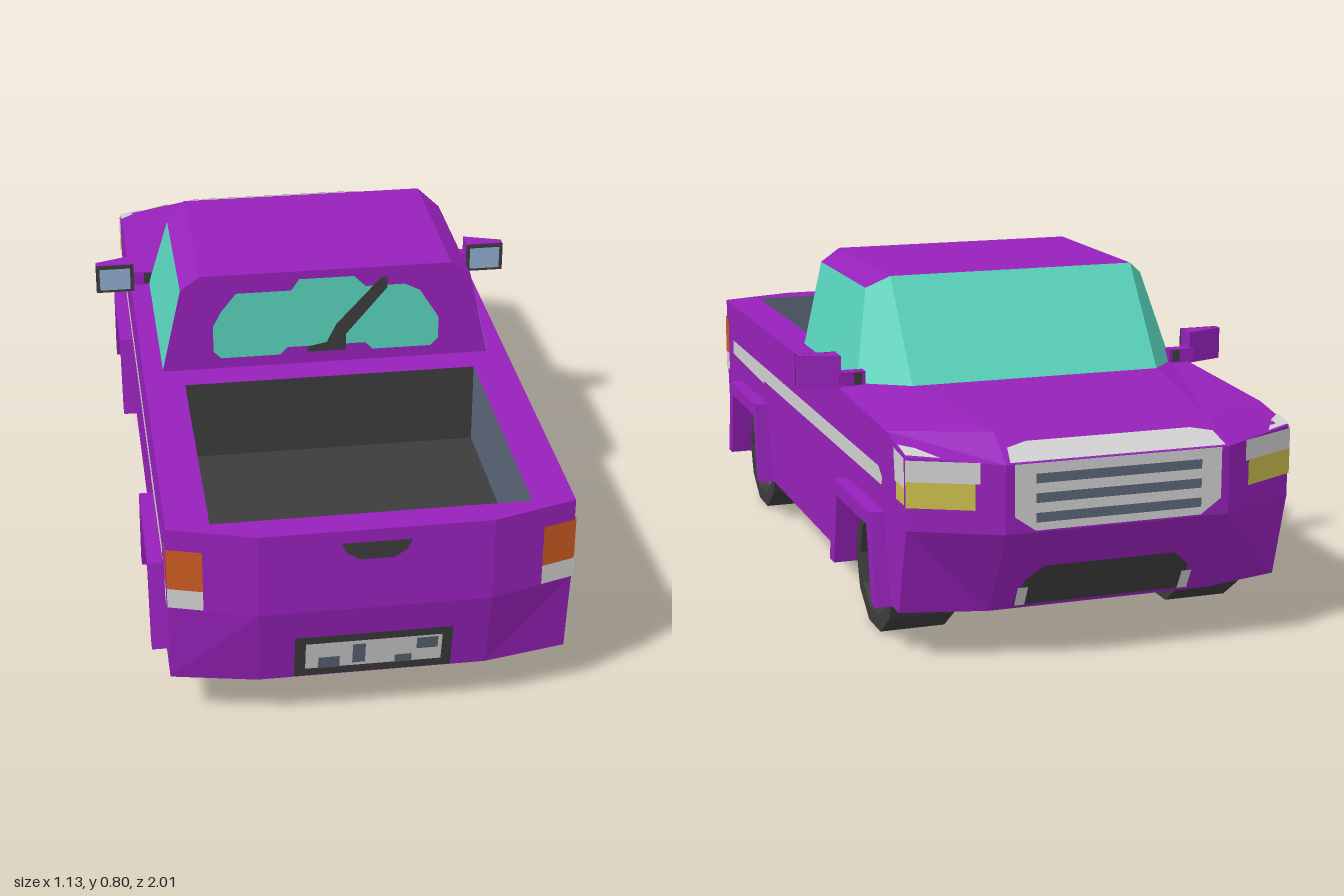
import * as THREE from 'three';

const material = (name, color) => new THREE.MeshStandardMaterial({ name, color, side: THREE.DoubleSide });
const purple = material('purple paint', 0x9621ba);
const teal = material('teal glass', 0x58d4bc);
const dark = material('dark rubber', 0x3c3c3c);
const slate = material('slate', 0x5a6677);
const pale = material('pale metal', 0xd0d0d0);
const orange = material('orange light', 0xca5a20);
const yellow = material('yellow light', 0xcabd4a);
const blue = material('mirror glass', 0x90acd0);

const flip = (poly) => poly.map(([x, y, z]) => [-x, y, z]).reverse();
const both = (polys) => polys.concat(polys.map(flip));
const lerp = (a, b, t) => a + (b - a) * t;

export function createModel() {
  const model = new THREE.Group();
  model.name = 'pickupTruck';

  const add = (name, geometry, mat, parent = model) => {
    const mesh = new THREE.Mesh(geometry, mat);
    mesh.name = name;
    parent.add(mesh);
    return mesh;
  };
  // Flat-shaded surface from small convex polygons
  const surface = (name, mat, polys, parent) => {
    const v = [];
    for (const p of polys)
      for (let i = 1; i < p.length - 1; i++) v.push(...p[0], ...p[i], ...p[i + 1]);
    const g = new THREE.BufferGeometry();
    g.setAttribute('position', new THREE.Float32BufferAttribute(v, 3));
    g.computeVertexNormals();
    return add(name, g, mat, parent);
  };
  // Any 2D outline laid onto a plane given by a mapping function
  const patch = (name, mat, outline, map, hole = null, parent) => {
    const pts = outline.map(([a, b]) => new THREE.Vector2(a, b));
    const holes = hole ? [hole.map(([a, b]) => new THREE.Vector2(a, b))] : [];
    const all = hole ? outline.concat(hole) : outline;
    const tris = THREE.ShapeUtils.triangulateShape(pts, holes);
    return surface(name, mat, tris.map((t) => t.map((i) => map(...all[i]))), parent);
  };
  const rect = (a0, a1, b0, b1) => [[a0, b0], [a1, b0], [a1, b1], [a0, b1]];
  const axles = [0.59, -0.57];

  // Body sides with wheel cut-outs
  const notch = (c) => [[c + 0.185, 0.12], [c + 0.145, 0.3], [c - 0.145, 0.3], [c - 0.185, 0.12]];
  const sideOutline = [[0.915, 0.12], ...notch(axles[0]), ...notch(axles[1]), [-0.84, 0.12], [-0.9, 0.33],
    [-0.9, 0.5], [-0.75, 0.525], [-0.33, 0.54], [0.94, 0.54], [0.94, 0.33]];
  for (const s of [1, -1]) patch('bodySide', purple, sideOutline, (z, y) => [s * 0.47, y, z]);

  // Nose and tail: centre panels and angled corners
  const ends = [
    [[0.27, 0.12, 0.955], [0.47, 0.12, 0.915], [0.27, 0.33, 1], [0.47, 0.33, 0.94], [0.27, 0.54, 1], [0.47, 0.54, 0.94]],
    [[0.27, 0.12, -0.89], [0.47, 0.12, -0.84], [0.27, 0.33, -1], [0.47, 0.33, -0.9], [0.27, 0.49, -1], [0.47, 0.5, -0.9]],
  ];
  ends.forEach((e, k) => {
    const polys = [];
    for (const i of [0, 2]) {
      const [a, b] = flip([e[i], e[i + 2]]);
      polys.push([e[i], e[i + 2], a, b]);
      polys.push(...both([[e[i], e[i + 1], e[i + 3], e[i + 2]]]));
    }
    surface(k ? 'nose' : 'tailgate', purple, polys);
  });

  // Bed rim and deck
  patch('deck', purple, [[-0.27, 1], [0.27, 1], [0.47, 0.94], [0.47, -0.33], [-0.47, -0.33], [-0.47, 0.94]],
    (x, z) => [x, 0.54, z], rect(-0.37, 0.37, 0.27, 0.93));

  // Bonnet with sloping front edge
  const bevel = [[0.27, 0.49, -1], [0.47, 0.5, -0.9], [0.47, 0.525, -0.75], [0.26, 0.54, -0.89]];
  surface('bonnet', purple, [
    [[-0.32, 0.56, -0.47], [0.32, 0.56, -0.47], [0.26, 0.54, -0.89], [-0.26, 0.54, -0.89]],
    [[-0.26, 0.54, -0.89], [0.26, 0.54, -0.89], [0.27, 0.49, -1], [-0.27, 0.49, -1]],
    ...both([bevel, [[0.32, 0.56, -0.47], [0.42, 0.545, -0.33], [0.47, 0.54, -0.33], [0.47, 0.525, -0.75], [0.26, 0.54, -0.89]]]),
  ]);

  // Underside with wheel notches
  const under = [[0.27, 0.955], [0.47, 0.915]];
  for (const c of axles) under.push([0.47, c + 0.185], [0.27, c + 0.185], [0.27, c - 0.185], [0.47, c - 0.185]);
  under.push([0.47, -0.84], [0.27, -0.89]);
  patch('underside', slate, under.concat(under.map(([x, z]) => [-x, z]).reverse()), (x, z) => [x, 0.12, z]);

  // Load bed
  const bed = (x, z) => [[x[0], 0.33, z[0]], [x[1], 0.33, z[1]], [x[1], 0.54, z[1]], [x[0], 0.54, z[0]]];
  surface('bedWalls', slate, [bed([-0.37, 0.37], [0.93, 0.93]), ...both([bed([0.37, 0.37], [0.27, 0.93])])]);
  surface('bedFrontWall', dark, [bed([-0.37, 0.37], [0.27, 0.27])]);
  patch('bedFloor', dark, rect(-0.37, 0.37, 0.27, 0.93), (x, z) => [x, 0.33, z]);

  // Cab
  const top = [0.32, 0.8, -0.29], brow = [0.37, 0.765, -0.24], foot = [0.42, 0.545, -0.33], cowl = [0.32, 0.56, -0.47];
  const rear = ([x, y]) => [x, y, 0.19];
  surface('roof', purple, [[top, rear(top), ...flip([top, rear(top)])], ...both([[top, brow, rear(brow), rear(top)]])]);
  patch('cabBack', purple, [[-0.42, 0.54], [0.42, 0.54], [0.37, 0.765], [0.32, 0.8], [-0.32, 0.8], [-0.37, 0.765]],
    (x, y) => [x, y, 0.19]);
  surface('windscreen', teal, [[top, cowl, ...flip([top, cowl])], ...both([[top, brow, foot, cowl]])]);
  surface('sideWindows', teal, both([[brow, rear(brow), rear(foot), foot]]));
  patch('rearWindow', teal, [[-0.27, 0.57], [-0.12, 0.57], [-0.1, 0.59], [0.1, 0.59], [0.12, 0.57], [0.27, 0.57],
    [0.29, 0.59], [0.29, 0.65], [0.24, 0.73], [0.2, 0.75], [0.1, 0.75], [0.07, 0.78], [-0.07, 0.78], [-0.09, 0.75],
    [-0.23, 0.75], [-0.27, 0.7], [-0.29, 0.66], [-0.29, 0.59]], (x, y) => [x, y, 0.194]);
  patch('rearWiper', dark, [[-0.05, 0.575], [0.05, 0.575], [0.05, 0.62], [0.155, 0.745], [0.155, 0.775], [0.14, 0.775],
    [0.025, 0.65], [0, 0.6], [-0.05, 0.59]], (x, y) => [x, y, 0.198]);

  // Tailgate handle and plate
  patch('tailgateHandle', dark, [[-0.08, 0.51], [-0.07, 0.485], [-0.04, 0.465], [0.04, 0.465], [0.07, 0.485], [0.08, 0.51]],
    (x, y) => [x, y, 1.004]);
  const bumper = (off) => (x, y) => [x, y, lerp(0.955, 1, (y - 0.12) / 0.21) + off];
  patch('plateFrame', dark, rect(-0.185, 0.185, 0.125, 0.25), bumper(0.004));
  patch('plate', pale, rect(-0.16, 0.16, 0.15, 0.23), bumper(0.007));
  [[-0.13, -0.08, 0.15, 0.185], [-0.05, -0.02, 0.16, 0.22], [0.05, 0.09, 0.15, 0.175], [0.1, 0.15, 0.19, 0.225]]
    .forEach((r) => patch('plateMark', slate, rect(...r), bumper(0.009)));

  // Grille, intake and fog lights
  const nose = (off) => (x, y) => [x, y, -1 - off];
  patch('grille', pale, [[-0.25, 0.49], [-0.25, 0.37], [-0.2, 0.335], [0.2, 0.335], [0.25, 0.37], [0.25, 0.49]], nose(0.003));
  patch('grilleTop', pale, [[-0.26, 0], [0.26, 0], [0.25, 0.45], [0.2, 0.6], [-0.2, 0.6], [-0.25, 0.45]],
    (x, t) => [x, lerp(0.49, 0.54, t) + 0.004, lerp(-1, -0.89, t)]);
  for (const y of [0.365, 0.41, 0.455]) patch('grilleBar', slate, rect(-0.2, 0.2, y - 0.011, y + 0.011), nose(0.005));
  const chin = (off) => (x, y) => [x, y, lerp(-0.89, -1, (y - 0.12) / 0.21) - off];
  patch('intake', dark, [[-0.22, 0.13], [0.22, 0.13], [0.2, 0.2], [0.16, 0.235], [-0.16, 0.235], [-0.2, 0.2]], chin(0.004));

  for (const s of [1, -1]) {
    patch('fogLight', pale, rect(0.19, 0.215, 0.13, 0.18), (x, y) => chin(0.007)(s * x, y));
    // Headlights wrap the corner
    const corner = (u, y) => [s * (lerp(0.27, 0.47, u) + 0.002), y, lerp(-1, -0.9, u) - 0.004];
    const side = (z, y) => [s * 0.474, y, z];
    patch('headlight', pale, rect(0.25, 1, 0.445, 0.494), corner);
    patch('headlightLower', yellow, rect(0.3, 1, 0.385, 0.445), corner);
    patch('headlightSide', pale, [[-0.9, 0.43], [-0.83, 0.43], [-0.82, 0.505], [-0.9, 0.498]], side);
    patch('headlightLowerSide', yellow, rect(-0.9, -0.84, 0.39, 0.43), side);
    patch('headlightTop', pale, [[0.65, 0], [1, 0], [1, 0.4], [0.85, 0.3]], (u, v) => {
      const [a, b, c, d] = bevel;
      const p = [0, 1, 2].map((i) => lerp(lerp(a[i], b[i], u), lerp(d[i], c[i], u), v));
      return [s * p[0], p[1] + 0.005, p[2]];
    });
    // Tail lights wrap the corner
    const tail = (u, y) => [s * (lerp(0.27, 0.47, u) + 0.002), y, lerp(1, 0.94, u) + 0.004];
    [['tailLight', orange, 0.385, 0.49], ['reverseLight', pale, 0.335, 0.385]].forEach(([n, m, y0, y1]) => {
      patch(n, m, rect(0.6, 1, y0, y1), tail);
      patch(n + 'Side', m, rect(0.9, 0.94, y0, y1), side);
    });
    patch('sideStripe', pale, [[0.84, 0.395], [0.45, 0.385], [0.45, 0.392], [-0.72, 0.392], [-0.73, 0.41], [-0.7, 0.432], [0.84, 0.435]], side);

    // Door mirrors
    const mirror = new THREE.Group();
    mirror.name = 'mirror';
    model.add(mirror);
    const plan = new THREE.Shape([[0.465, 0.295], [0.565, 0.295], [0.565, 0.315], [0.465, 0.35]]
      .map(([x, z]) => new THREE.Vector2(s * x, z)));
    const shell = new THREE.ExtrudeGeometry(plan, { depth: 0.08, bevelEnabled: false }).rotateX(-Math.PI / 2);
    add('mirrorShell', shell, purple, mirror).position.y = 0.54;
    const flat = (off) => (x, y) => [s * x, y, -0.295 + off];
    patch('mirrorFrame', dark, rect(0.463, 0.566, 0.54, 0.62), flat(0.003), null, mirror);
    patch('mirrorGlass', blue, rect(0.473, 0.556, 0.548, 0.61), flat(0.006), null, mirror);
    add('mirrorArm', new THREE.BoxGeometry(0.07, 0.035, 0.03), purple, mirror).position.set(s * 0.44, 0.562, -0.34);
    add('mirrorPivot', new THREE.BoxGeometry(0.02, 0.03, 0.034), dark, mirror).position.set(s * 0.424, 0.562, -0.34);

    for (const c of axles) {
      // Wheel well
      const arch = notch(c);
      const strips = [0, 1, 2].map((i) => [[0.47, ...arch[i].slice().reverse()], [0.47, ...arch[i + 1].slice().reverse()],
        [0.27, ...arch[i + 1].slice().reverse()], [0.27, ...arch[i].slice().reverse()]]);
      strips.push(arch.map(([z, y]) => [0.27, y, z]));
      surface('wheelWell', purple, s > 0 ? strips : strips.map(flip));

      // Wheel arch flare
      const flare = new THREE.Shape([[-0.205, 0.115], [-0.16, 0.33], [0.16, 0.33], [0.205, 0.115], [0.165, 0.115],
        [0.13, 0.295], [-0.13, 0.295], [-0.165, 0.115]].map(([a, b]) => new THREE.Vector2(a, b)));
      const flareGeo = new THREE.ExtrudeGeometry(flare, { depth: 0.065, bevelEnabled: false }).rotateY(Math.PI / 2);
      add('wheelArch', flareGeo, purple).position.set(s > 0 ? 0.44 : -0.505, 0, c);

      // Ten-sided wheel with patterned rim
      const wheel = new THREE.Group();
      wheel.name = 'wheel';
      wheel.position.set(s * 0.37, 0.15, c);
      model.add(wheel);
      const ring = [[0.12, -0.08], [0.157, -0.08], [0.157, 0.08], [0.12, 0.08], [0.12, -0.08]];
      const tyre = new THREE.LatheGeometry(ring.map(([r, h]) => new THREE.Vector2(r, h)), 10).rotateZ(-Math.PI / 2).toNonIndexed();
      tyre.computeVertexNormals();
      add('tyre', tyre, dark, wheel);
      const polar = (off) => (a, r) => [s * off, r * Math.cos(a), r * Math.sin(a)];
      const disc = (off) => [...Array(10)].map((_, i) => polar(off)((i + 0.5) * Math.PI / 5, 0.121));
      surface('rim', slate, [disc(0.05)], wheel);
      const step = Math.PI * 2 / 5, at = polar(0.054), star = polar(0.057);
      const plates = [], hub = [];
      for (let i = 0; i < 5; i++) {
        const a = i * step;
        plates.push([at(a - 0.3, 0.114), at(a + 0.3, 0.114), at(a + 0.28, 0.088), at(a - 0.28, 0.088)]);
        plates.push([at(a + 0.45, 0.08), at(a + 0.8, 0.08), at(a + 0.63, 0.035)]);
        hub.push([star(a, 0.075), star(a + step / 2, 0.028), [s * 0.057, 0, 0], star(a - step / 2, 0.028)]);
      }
      surface('rimPlates', pale, plates, wheel);
      surface('hub', dark, hub, wheel);
    }
  }
  return model;
}
